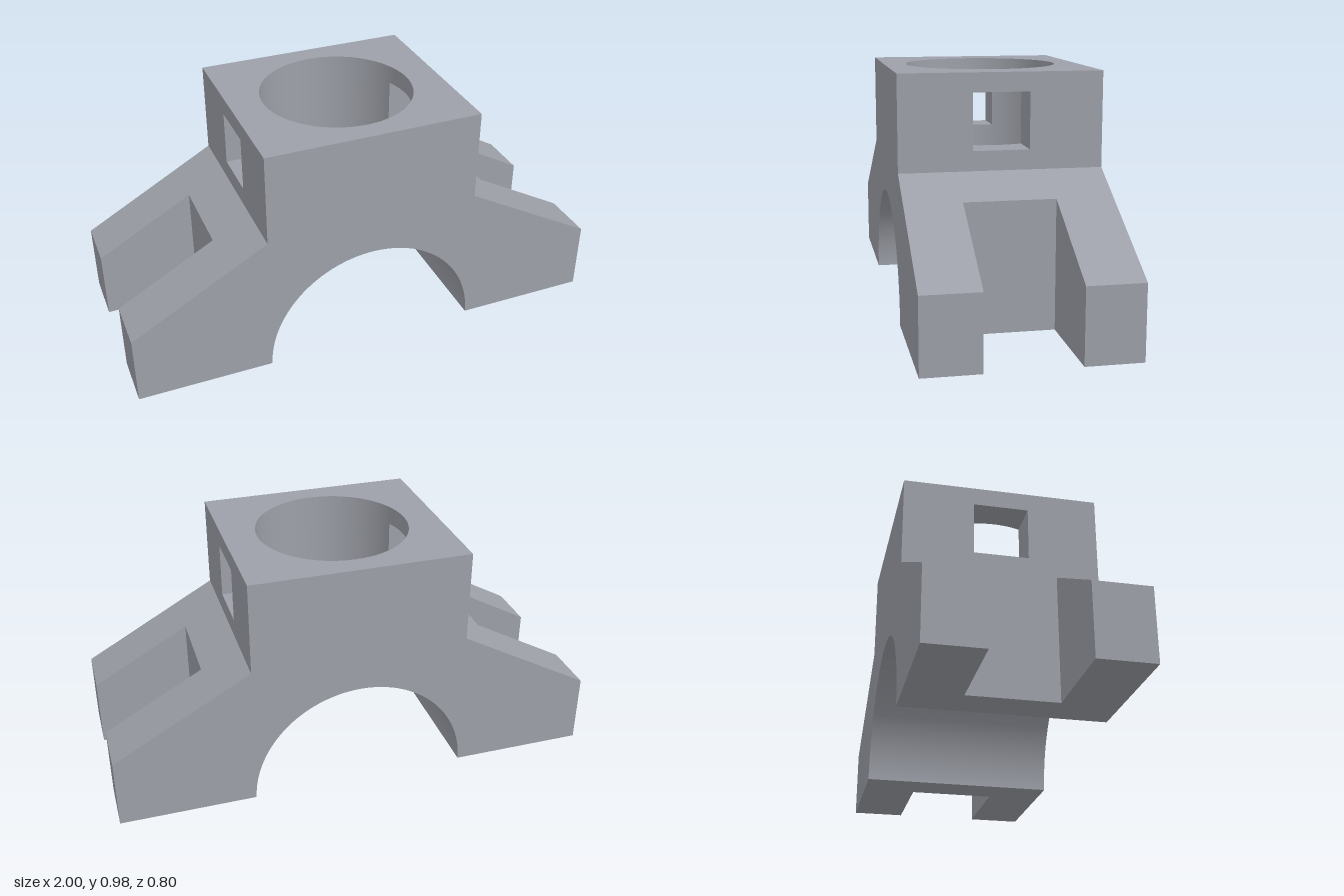
import * as THREE from 'three';

const W = 0.444, H = 0.978, D = 0.4;           // tower half width, height, half depth
const SHOULDER = 0.6, TIP = 0.29;              // heights where the slope starts and ends
const ARCH = 0.445, BORE = 0.311;              // radii of the arch and the vertical bore
const SLOT_X = 0.6, SLOT_Z = 0.178;            // fork slot
const WIN_Z = 0.112, WIN_LO = 0.678, WIN_HI = 0.902; // square window

const V = (x, y, z) => new THREE.Vector3(x, y, z);
const material = new THREE.MeshStandardMaterial({ color: 0x9da0a8 });
const slopeY = (x) => SHOULDER - (x - W) * (SHOULDER - TIP) / (1 - W);
const archY = (x) => Math.sqrt(Math.max(0, ARCH * ARCH - x * x));
const span = (a, b, n) => Array.from({ length: n + 1 }, (_, i) => a + (b - a) * i / n);

// Mesh from a triangle list; every triangle is wound to agree with its normal
function surface(name, pts, normalAt) {
  const pos = [], nor = [];
  for (let i = 0; i < pts.length; i += 3) {
    let [a, b, c] = pts.slice(i, i + 3);
    const face = b.clone().sub(a).cross(c.clone().sub(a));
    if (face.dot(normalAt(a).add(normalAt(b)).add(normalAt(c))) < 0) [b, c] = [c, b];
    for (const p of [a, b, c]) {
      pos.push(...p.toArray());
      nor.push(...normalAt(p).toArray());
    }
  }
  const g = new THREE.BufferGeometry();
  g.setAttribute('position', new THREE.Float32BufferAttribute(pos, 3));
  g.setAttribute('normal', new THREE.Float32BufferAttribute(nor, 3));
  const mesh = new THREE.Mesh(g, material);
  mesh.name = name;
  return mesh;
}

// Flat panel: a 2D outline (with optional hole) placed in space by a mapping
function panel(name, outline, map, normal, hole) {
  const toPath = (list) => list.map(([u, v]) => new THREE.Vector2(u, v));
  const shape = new THREE.Shape(toPath(outline));
  if (hole) shape.holes.push(new THREE.Path(toPath(hole)));
  const p = new THREE.ShapeGeometry(shape).toNonIndexed().attributes.position;
  const pts = Array.from({ length: p.count }, (_, i) => map(p.getX(i), p.getY(i)));
  return surface(name, pts, () => normal.clone().normalize());
}

// Triangles between two matching rows of points
function ribbon(a, b) {
  const out = [];
  for (let i = 0; i < a.length - 1; i++) out.push(a[i], b[i], b[i + 1], a[i], b[i + 1], a[i + 1]);
  return out;
}

const rect = (u0, v0, u1, v1) => [[u0, v0], [u1, v0], [u1, v1], [u0, v1]];
const fork = (x0) => [[x0, -D], [1, -D], [1, -SLOT_Z], [SLOT_X, -SLOT_Z],
  [SLOT_X, SLOT_Z], [1, SLOT_Z], [1, D], [x0, D]];

// The front face with everything on the +x side; a half turn gives the rest
function makeHalf(name) {
  const half = new THREE.Group();
  half.name = name;
  const winAngle = Math.asin(WIN_Z / BORE);
  const winArc = span(-winAngle, winAngle, 10);
  const sideArc = span(winAngle, Math.PI / 2, 22);
  const flank = span(0, Math.acos(BORE / ARCH), 16).map((t) => ARCH * Math.cos(t));
  const crown = [...span(0, winAngle, 5), ...sideArc.slice(1)];
  const crownXs = crown.map((t) => BORE * Math.cos(t));

  // Front face with the arch cut out
  const rightArch = [...flank, ...crownXs.slice(1)].map((x) => [x, archY(x)]);
  const leftArch = rightArch.slice(0, -1).reverse().map(([x, y]) => [-x, y]);
  half.add(panel('frontFace', [...rightArch, ...leftArch, [-1, 0], [-1, TIP], [-W, SHOULDER],
    [-W, H], [W, H], [W, SHOULDER], [1, TIP], [1, 0]], (x, y) => V(x, y, D), V(0, 0, 1)));

  // Tower side with its window
  half.add(panel('towerSide', rect(-D, SHOULDER, D, H), (z, y) => V(W, y, z), V(1, 0, 0),
    rect(-WIN_Z, WIN_LO, WIN_Z, WIN_HI)));

  // Forked leg: slope, foot, tips and slot walls
  half.add(panel('legSlope', fork(W), (x, z) => V(x, slopeY(x), z), V(SHOULDER - TIP, 1 - W, 0)));
  half.add(panel('legFoot', fork(ARCH), (x, z) => V(x, 0, z), V(0, -1, 0)));
  half.add(panel('slotEnd', rect(-SLOT_Z, 0, SLOT_Z, slopeY(SLOT_X)),
    (z, y) => V(SLOT_X, y, z), V(1, 0, 0)));
  for (const s of [-1, 1]) {
    half.add(panel('legTip', rect(SLOT_Z, 0, D, TIP), (z, y) => V(1, y, s * z), V(1, 0, 0)));
    half.add(panel('slotSide', [[SLOT_X, 0], [1, 0], [1, TIP], [SLOT_X, slopeY(SLOT_X)]],
      (x, y) => V(x, y, s * SLOT_Z), V(0, 0, -s)));
    half.add(panel('windowSide', rect(BORE * Math.cos(winAngle), WIN_LO, W, WIN_HI),
      (x, y) => V(x, y, s * WIN_Z), V(0, 0, -s)));
  }

  // Window sill and lintel, ending on the round bore
  const sill = [...winArc.map((t) => [BORE * Math.cos(t), BORE * Math.sin(t)]),
    [W, WIN_Z], [W, -WIN_Z]];
  half.add(panel('windowSill', sill, (x, z) => V(x, WIN_LO, z), V(0, 1, 0)));
  half.add(panel('windowLintel', sill, (x, z) => V(x, WIN_HI, z), V(0, -1, 0)));

  // Bore wall, from the arch up to the top, open at the window
  const ring = (angles, yAt) => angles.map((t) =>
    V(BORE * Math.cos(t), yAt(BORE * Math.cos(t)), BORE * Math.sin(t)));
  const wall = (angles, lo, hi) => ribbon(ring(angles, lo), ring(angles, hi));
  half.add(surface('boreWall', [
    ...wall(sideArc, archY, () => H),
    ...wall(sideArc.map((t) => -t), archY, () => H),
    ...wall(winArc, archY, () => WIN_LO),
    ...wall(winArc, () => WIN_HI, () => H),
  ], (p) => V(-p.x, 0, -p.z).normalize()));

  // Arch underside, pierced by the bore
  const line = (xs, zAt) => xs.map((x, i) => V(x, archY(x), zAt(i)));
  const vault = ribbon(line(flank, () => -D), line(flank, () => D));
  for (const s of [-1, 1]) {
    vault.push(...ribbon(line(crownXs, (i) => s * BORE * Math.sin(crown[i])),
      line(crownXs, () => s * D)));
  }
  half.add(surface('archVault', vault, (p) => V(-p.x, -p.y, 0).normalize()));
  return half;
}

export function createModel() {
  const model = new THREE.Group();
  model.name = 'archedBracket';
  const rear = makeHalf('rearHalf');
  rear.rotation.y = Math.PI;
  model.add(makeHalf('frontHalf'), rear);
  // Tower top around the bore
  const circle = span(0, 2 * Math.PI, 96).slice(0, -1)
    .map((t) => [BORE * Math.cos(t), BORE * Math.sin(t)]);
  model.add(panel('towerTop', rect(-W, -D, W, D), (x, z) => V(x, H, z), V(0, 1, 0), circle));
  return model;
}
